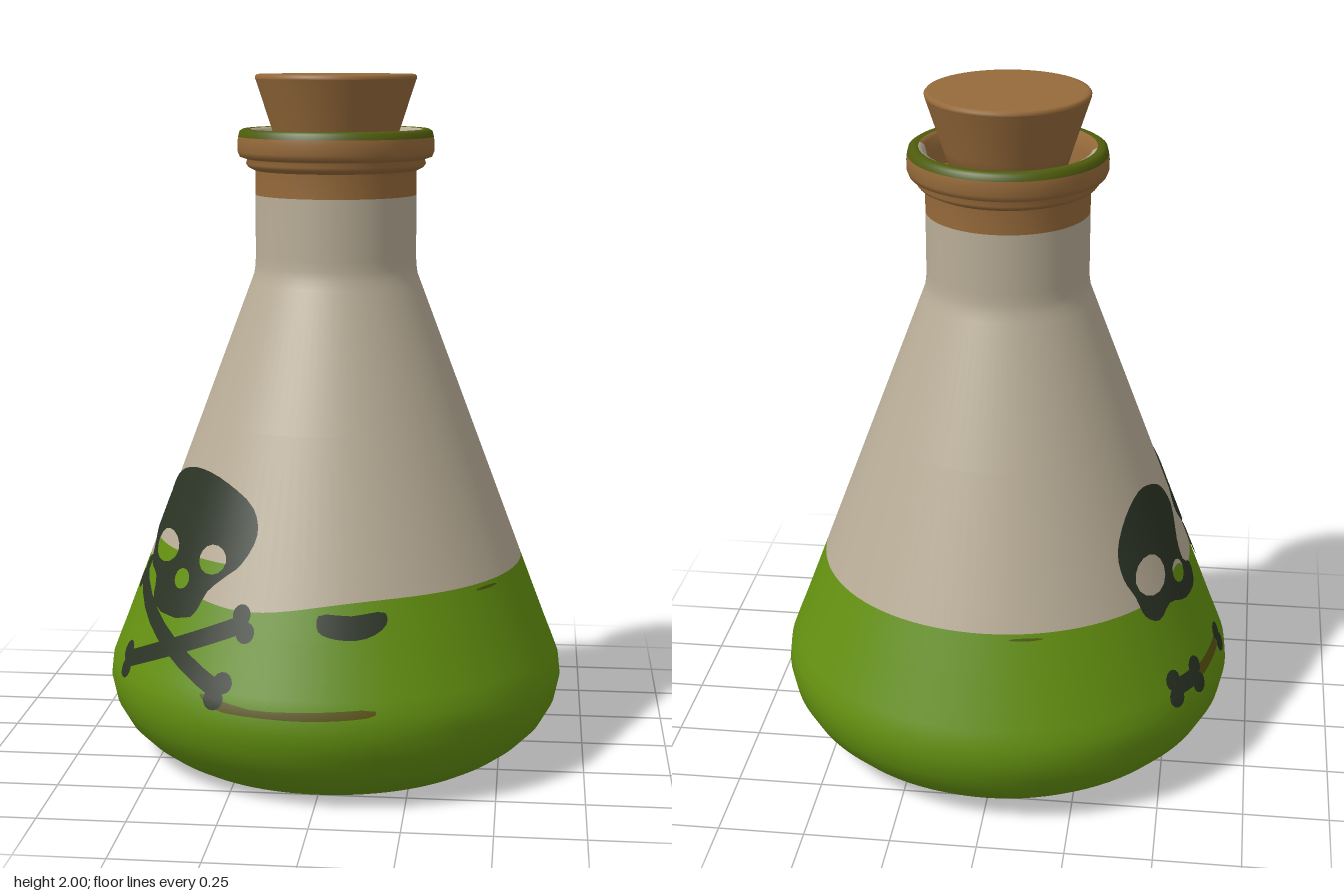
import * as THREE from 'three';

const mat = (name, color) => {
  const m = new THREE.MeshStandardMaterial({ color, side: THREE.DoubleSide });
  m.name = name;
  return m;
};
const V = (x, y) => new THREE.Vector2(x, y);
const RAD = Math.PI / 180;

// Lower flask profile: [radius, height]
const LOWER = [[0.5, 0], [0.54, 0.022], [0.585, 0.055], [0.63, 0.1], [0.664, 0.16], [0.678, 0.225],
  [0.672, 0.28], [0.655, 0.325], [0.635, 0.375], [0.597, 0.475], [0.5555, 0.585]];
const CONE_TOP = [0.24, 1.425];
const WALL = [...LOWER, CONE_TOP];

// Radius of the flask wall at height y
function wallRadius(y) {
  let i = 1;
  while (i < WALL.length - 1 && WALL[i][1] < y) i++;
  const [r0, y0] = WALL[i - 1], [r1, y1] = WALL[i];
  return r0 + (r1 - r0) * (y - y0) / (y1 - y0);
}

// The liquid line dips a little on one side
const dip = deg => 0.045 * Math.exp(-(((deg + 22) / 25) ** 2));

function lathe(points, segments = 96, start = 0, length = Math.PI * 2) {
  return new THREE.LatheGeometry(points.map(p => V(p[0], p[1])), segments, start, length);
}

// Moves the ring at the liquid line down along the wall
function bendLiquidLine(geo) {
  const p = geo.attributes.position;
  for (let i = 0; i < p.count; i++) {
    if (Math.abs(p.getY(i) - 0.585) > 0.001) continue;
    const a = Math.atan2(p.getX(i), p.getZ(i));
    const y = 0.585 - dip(a / RAD), r = wallRadius(y);
    p.setXYZ(i, r * Math.sin(a), y, r * Math.cos(a));
  }
  return geo;
}

// Wraps a flat shape drawn in (degrees, height) around the wall
function wrap(shape, offset) {
  let tris = [];
  const flat = new THREE.ShapeGeometry(shape).toNonIndexed().attributes.position;
  for (let i = 0; i < flat.count; i += 3) {
    tris.push([0, 1, 2].map(k => V(flat.getX(i + k), flat.getY(i + k))));
  }
  for (let n = 0; n < 3; n++) {
    tris = tris.flatMap(([a, b, c]) => {
      const [ab, bc, ca] = [[a, b], [b, c], [c, a]].map(([s, t]) => s.clone().lerp(t, 0.5));
      return [[a, ab, ca], [ab, b, bc], [ca, bc, c], [ab, bc, ca]];
    });
  }
  const pos = [], nor = [];
  for (const v of tris.flat()) {
    const a = v.x * RAD, r = wallRadius(v.y) + offset;
    const slope = (wallRadius(v.y - 0.03) - wallRadius(v.y + 0.03)) / 0.06;
    const n = new THREE.Vector3(Math.sin(a), slope, Math.cos(a)).normalize();
    pos.push(r * Math.sin(a), v.y, r * Math.cos(a));
    nor.push(n.x, n.y, n.z);
  }
  const g = new THREE.BufferGeometry();
  g.setAttribute('position', new THREE.Float32BufferAttribute(pos, 3));
  g.setAttribute('normal', new THREE.Float32BufferAttribute(nor, 3));
  return g;
}

// Smooth closed outline through a few points
function outline(pts) {
  const c = new THREE.CatmullRomCurve3(pts.map(p => new THREE.Vector3(p[0], p[1] * 100, 0)), true, 'centripetal');
  return c.getPoints(pts.length * 3).slice(0, -1).map(p => V(p.x, p.y / 100));
}
const oval = (x, y, rx, ry, n = 14) => Array.from({ length: n }, (_, i) =>
  V(x + rx * Math.cos(i / n * Math.PI * 2), y + ry * Math.sin(i / n * Math.PI * 2)));

export function createModel() {
  const glass = mat('pale glass', 0xb9ad97);
  const green = mat('green liquid', 0x639010);
  const cork = mat('cork brown', 0x966a3a);
  const olive = mat('olive rim', 0x4e5c0c);
  const ink = mat('dark ink', 0x2b3425);
  const umber = mat('umber streak', 0x5a5410);

  const model = new THREE.Group();
  model.name = 'potionFlask';
  const add = (name, geo, material, parent = model) => {
    const m = new THREE.Mesh(geo, material);
    m.name = name;
    parent.add(m);
    return m;
  };

  // Flask body
  add('base', lathe([[0, 0.012], [0.46, 0.012], [0.5, 0]]), green);
  add('liquid', bendLiquidLine(lathe(LOWER)), green);
  add('cone', bendLiquidLine(lathe([LOWER.at(-1), [0.397, 1.007], [0.25, 1.398], CONE_TOP,
    [0.236, 1.45], [0.235, 1.48], [0.235, 1.655]])), glass);

  // Neck band, collar and lip
  add('neckBand', lathe([[0.235, 1.655], [0.235, 1.725], [0.24, 1.735]]), cork);
  add('collar', lathe([[0.235, 1.725], [0.255, 1.735], [0.262, 1.745], [0.258, 1.757], [0.265, 1.76],
    [0.28, 1.765], [0.286, 1.78], [0.286, 1.808], [0.284, 1.822]]), cork);
  add('lip', lathe([[0.284, 1.822], [0.28, 1.838], [0.27, 1.844], [0.255, 1.844], [0.246, 1.838]]), olive);
  const inner = [[0.252, 1.843], [0.238, 1.836], [0.228, 1.8], [0.222, 1.75]];
  add('mouthFront', lathe(inner, 48, -Math.PI / 2, Math.PI), cork);
  add('mouthBack', lathe(inner, 48, Math.PI / 2, Math.PI), glass);
  add('mouthFloor', lathe([[0.235, 1.75], [0.15, 1.75]]), cork);

  // Stopper
  add('stopper', lathe([[0, 1.74], [0.155, 1.74], [0.185, 1.84], [0.231, 1.98], [0.2335, 1.987]], 64), cork);
  add('stopperTop', lathe([[0.2335, 1.987], [0.234, 1.994], [0.229, 2], [0.222, 2], [0, 2]], 64), cork);

  // Painted details
  const paint = (name, pts, material, offset = 0.005, holes = [], parent = model) => {
    const s = new THREE.Shape(pts);
    s.holes = holes.map(h => new THREE.Path(h));
    add(name, wrap(s, offset), material, parent);
  };
  const DEG = 95; // degrees per unit of arc, near the bones
  const bone = (a, b, w, parent) => {
    const dx = (b[0] - a[0]) / DEG, dy = b[1] - a[1], l = Math.hypot(dx, dy);
    const nx = -dy / l * w * DEG, ny = dx / l * w;
    paint('boneShaft', [V(a[0] - nx, a[1] - ny), V(b[0] - nx, b[1] - ny),
      V(b[0] + nx, b[1] + ny), V(a[0] + nx, a[1] + ny)], ink, 0.005, [], parent);
    for (const e of [a, b]) for (const s of [-1, 1]) {
      paint('boneKnob', oval(e[0] + s * nx, e[1] + s * ny, w * 1.2 * DEG, w * 1.2), ink, 0.005, [], parent);
    }
  };

  // Front skull and crossed bones
  const skullA = new THREE.Group();
  skullA.name = 'frontSkull';
  model.add(skullA);
  paint('skull', outline([[-20, 0.745], [-23, 0.81], [-36, 0.865], [-52, 0.885], [-68, 0.865], [-82, 0.81],
    [-90, 0.74], [-86, 0.68], [-75, 0.64], [-70, 0.59], [-61, 0.565], [-57, 0.5], [-38, 0.5],
    [-34, 0.575], [-29, 0.62], [-24, 0.66]]), ink, 0.005,
    [oval(-35, 0.66, 5.5, 0.04), oval(-61, 0.655, 9, 0.045), oval(-46, 0.59, 3.5, 0.028)], skullA);
  paint('faceFill', [V(-68, 0.6), V(-58, 0.54), V(-38, 0.54), V(-31, 0.62), V(-29, 0.655), V(-71, 0.655)],
    green, 0.0025, [], skullA);
  bone([-20, 0.51], [-61, 0.325], 0.024, skullA);
  bone([-73, 0.55], [-24, 0.33], 0.024, skullA);

  // Side skull and broken bone
  const skullB = new THREE.Group();
  skullB.name = 'sideSkull';
  model.add(skullB);
  paint('skull', outline([[-93, 0.765], [-97, 0.83], [-106, 0.87], [-116, 0.88], [-127, 0.835], [-134, 0.755],
    [-134, 0.68], [-131, 0.62], [-129, 0.56], [-124, 0.53], [-117, 0.555], [-108, 0.53], [-98, 0.54],
    [-96, 0.585], [-101, 0.62], [-100, 0.68]]), ink, 0.005,
    [oval(-122, 0.655, 7.5, 0.055), oval(-107, 0.61, 4, 0.032)], skullB);
  paint('eyeFill', oval(-107, 0.6, 4.5, 0.025), green, 0.0025, [], skullB);
  bone([-125, 0.335], [-115, 0.33], 0.024, skullB);
  paint('boneStreak', [V(-113, 0.31), V(-98, 0.325), V(-98, 0.355), V(-113, 0.345)], umber, 0.003, [], skullB);
  for (const y of [0.32, 0.355]) paint('boneKnob', oval(-95.5, y, 3, 0.026), ink, 0.005, [], skullB);

  // Marks on the liquid
  paint('darkMark', outline([[1, 0.545], [1, 0.505], [6, 0.485], [14, 0.487], [19.5, 0.52], [19.5, 0.55], [10, 0.545]]), ink);
  paint('longStreak', outline([[-29, 0.315], [-25, 0.285], [-12, 0.277], [6, 0.28], [15, 0.292], [15, 0.302],
    [0, 0.3], [-15, 0.296]]), umber);
  for (const deg of [55, -168]) paint('smallDash', oval(deg, 0.572, 5, 0.004), olive);

  return model;
}
